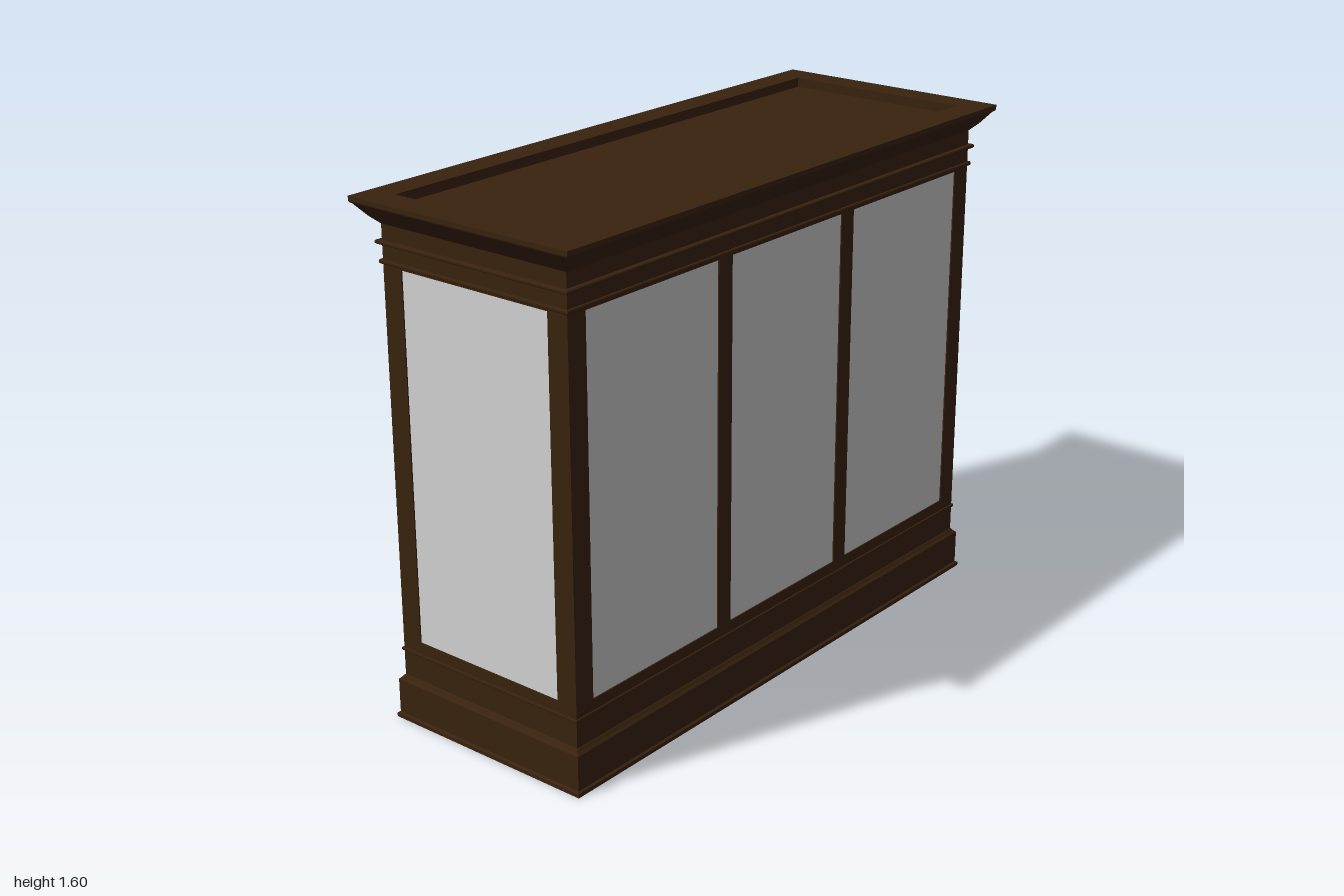
import * as THREE from 'three';

const HALF_X = 0.34, HALF_Z = 0.94;      // cabinet body half sizes
const GLASS_LOW = 0.265, GLASS_HIGH = 1.4;

// Mitred rectangular moulding: profile points are [offset from body, height], listed upward
function moulding(name, profile, material) {
  const rings = profile.map(([o, y]) => {
    const x = HALF_X + o, z = HALF_Z + o;
    return [[x, y, z], [x, y, -z], [-x, y, -z], [-x, y, z]];
  });
  const pos = [];
  const quad = (a, b, c, d) => pos.push(...a, ...b, ...c, ...a, ...c, ...d);
  for (let i = 0; i < rings.length - 1; i++) {
    const lo = rings[i], hi = rings[i + 1];
    for (let k = 0; k < 4; k++) {
      const n = (k + 1) % 4;
      quad(lo[k], lo[n], hi[n], hi[k]);
    }
  }
  const first = rings[0], last = rings[rings.length - 1];
  quad(first[3], first[2], first[1], first[0]);
  quad(last[0], last[1], last[2], last[3]);
  const geometry = new THREE.BufferGeometry();
  geometry.setAttribute('position', new THREE.Float32BufferAttribute(pos, 3));
  geometry.computeVertexNormals();
  const mesh = new THREE.Mesh(geometry, material);
  mesh.name = name;
  return mesh;
}

// Small rounded bead in a profile, centred at height y
const bead = (y, o, r) => [[0, y - r], [o * 0.75, y - r], [o, y - r * 0.5],
  [o, y + r * 0.5], [o * 0.75, y + r], [0, y + r]];

export function createModel() {
  const model = new THREE.Group();
  model.name = 'displayCabinet';

  const wood = new THREE.MeshStandardMaterial({ color: 0x39230f });
  wood.name = 'darkWood';
  const glass = new THREE.MeshStandardMaterial({ color: 0xd2d2d2 });
  glass.name = 'paleGlass';

  const box = (name, w, h, d, x, y, z, material) => {
    const mesh = new THREE.Mesh(new THREE.BoxGeometry(w, h, d), material);
    mesh.name = name;
    mesh.position.set(x, y, z);
    model.add(mesh);
  };

  // Plinth with foot moulding, ledge and lower bead
  model.add(moulding('base', [
    [0.022, 0], [0.022, 0.012], [0.015, 0.016], [0.015, 0.125],
    [0.008, 0.131], [0.003, 0.138], [0, 0.14],
    ...bead(0.225, 0.005, 0.005), [0, GLASS_LOW],
  ], wood));

  // Frieze beads, flared crown and recessed top panel
  model.add(moulding('cornice', [
    [0, GLASS_HIGH], ...bead(1.413, 0.008, 0.006), ...bead(1.469, 0.014, 0.006),
    [0, 1.52], [0.024, 1.543], [0.052, 1.578], [0.058, 1.582],
    [0.06, 1.586], [0.06, 1.6], [-0.03, 1.6], [-0.03, 1.57],
  ], wood));

  const height = GLASS_HIGH - GLASS_LOW;
  const midY = (GLASS_HIGH + GLASS_LOW) / 2;

  // Corner posts
  for (const sx of [1, -1]) {
    for (const sz of [1, -1]) {
      box('cornerPost', 0.07, height, 0.07,
        sx * (HALF_X - 0.035), midY, sz * (HALF_Z - 0.035), wood);
    }
  }

  // Long sides: two mullions and three panes each
  for (const sx of [1, -1]) {
    for (const z of [-0.29, 0.29]) {
      box('mullion', 0.04, height, 0.06, sx * (HALF_X - 0.02), midY, z, wood);
    }
    for (const [z, w] of [[-0.595, 0.55], [0, 0.52], [0.595, 0.55]]) {
      box('sidePane', 0.008, height, w, sx * (HALF_X - 0.008), midY, z, glass);
    }
  }

  // End panes
  for (const sz of [1, -1]) {
    box('endPane', 0.54, height, 0.008, 0, midY, sz * (HALF_Z - 0.008), glass);
  }

  return model;
}
